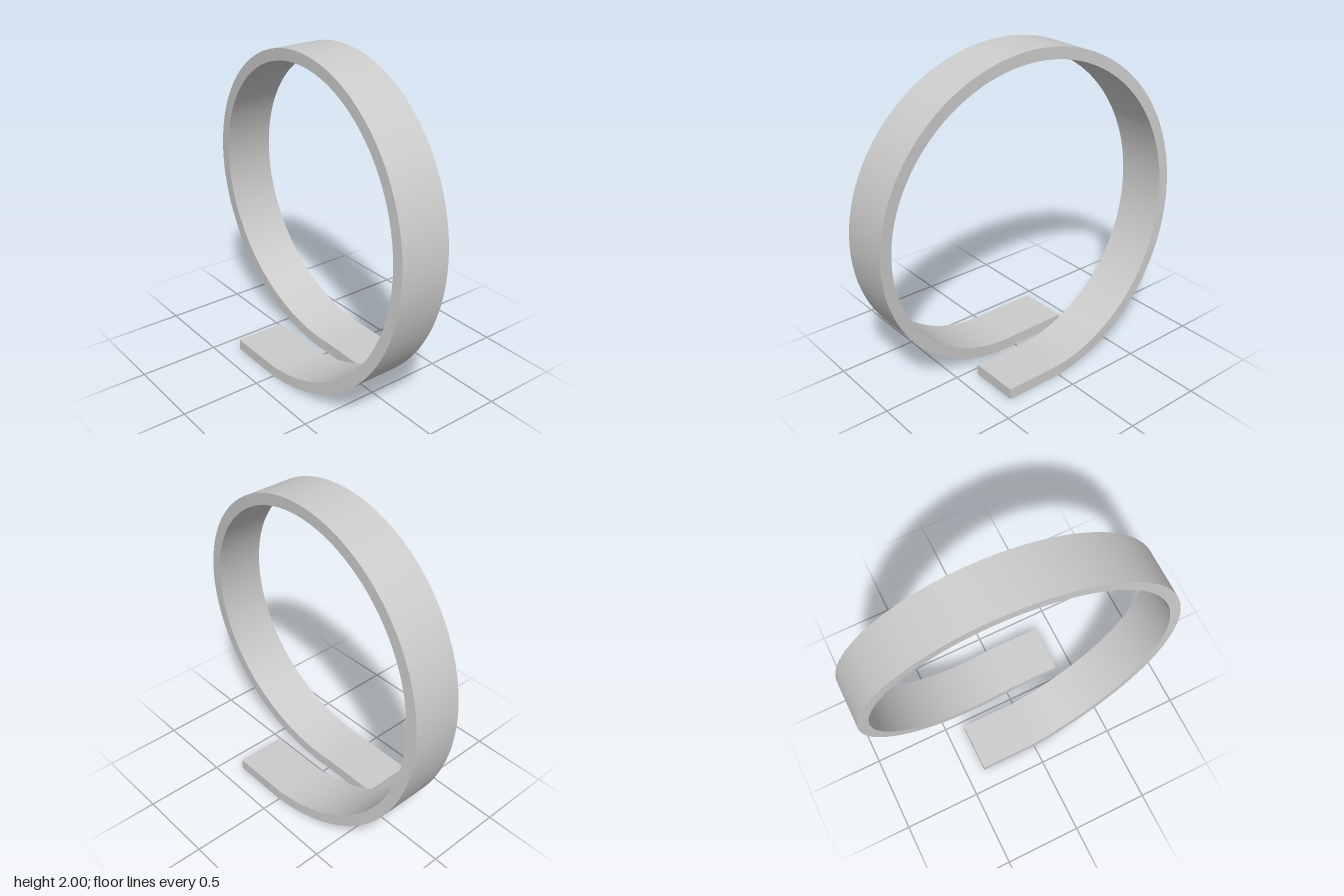
import * as THREE from 'three';

const OUTER = 1, INNER = 0.93;      // ring radii
const HALF_WIDTH = 0.16;            // half of the band's width
const SHIFT = 0.213;                // sideways offset of the ends
const TAB = 0.38;                   // length of the flat ends
const SEGMENTS = 160;

// Four corners of the band: angle t around the ring, centre x, extra z offset
function section(t, x, dz = 0) {
  const at = (side, r) => [x + side * HALF_WIDTH, 1 - r * Math.cos(t), r * Math.sin(t) + dz];
  return [at(-1, OUTER), at(1, OUTER), at(1, INNER), at(-1, INNER)];
}

function bandGeometry() {
  // Flat end, one helical turn, flat end
  const rows = [section(0, -SHIFT, -TAB), section(0, -SHIFT, -0.01)];
  for (let i = 0; i <= SEGMENTS; i++) {
    const u = i / SEGMENTS;
    rows.push(section(u * Math.PI * 2, SHIFT * (2 * u - 1)));
  }
  rows.push(section(0, SHIFT, 0.01), section(0, SHIFT, TAB));

  const positions = [], index = [];
  // Each of the four sides has its own vertices, so the long edges stay sharp
  for (let s = 0; s < 4; s++) {
    const base = positions.length / 3;
    rows.forEach((row, i) => {
      positions.push(...row[s], ...row[(s + 1) % 4]);
      if (i === 0) return;
      const p1 = base + 2 * i, q1 = p1 + 1, p0 = p1 - 2, q0 = p1 - 1;
      index.push(p0, q0, q1, p0, q1, p1);
    });
  }
  // End caps
  for (const corners of [[...rows[0]].reverse(), rows[rows.length - 1]]) {
    const b = positions.length / 3;
    positions.push(...corners.flat());
    index.push(b, b + 1, b + 2, b, b + 2, b + 3);
  }
  const geometry = new THREE.BufferGeometry();
  geometry.setAttribute('position', new THREE.Float32BufferAttribute(positions, 3));
  geometry.setIndex(index);
  geometry.computeVertexNormals();
  return geometry;
}

export function createModel() {
  const group = new THREE.Group();
  group.name = 'helicalRing';
  const band = new THREE.Mesh(bandGeometry(), new THREE.MeshStandardMaterial({ color: 0xcccccc }));
  band.name = 'band';
  group.add(band);
  return group;
}
